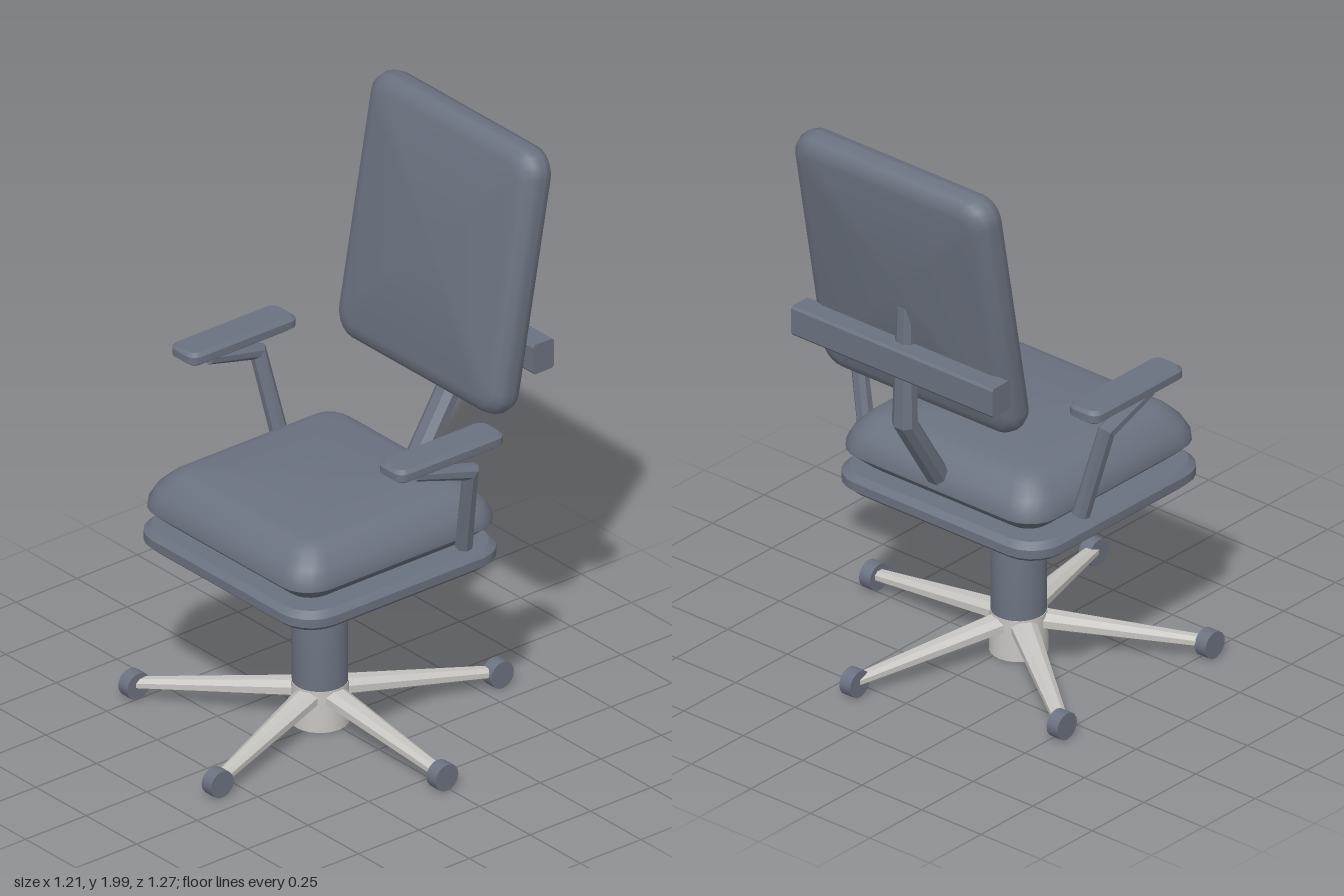
import * as THREE from 'three';
import { toCreasedNormals } from 'three/addons/utils/BufferGeometryUtils.js';

const CX = -0.027, CZ = 0.013; // centre of the column and seat
const V = (x, y, z) => new THREE.Vector3(x, y, z);

// Closed skin through rings of points, capped at both ends
function loft(rings, crease) {
  const n = rings[0].length, pos = [], idx = [];
  rings.forEach(r => r.forEach(p => pos.push(p.x, p.y, p.z)));
  const cap = r => {
    const c = r.reduce((s, p) => s.add(p), V(0, 0, 0)).divideScalar(n);
    pos.push(c.x, c.y, c.z);
    return pos.length / 3 - 1;
  };
  const c0 = cap(rings[0]), c1 = cap(rings[rings.length - 1]);
  const last = (rings.length - 1) * n;
  for (let j = 0; j < n; j++) {
    const k = (j + 1) % n;
    for (let i = 0; i < last; i += n) {
      idx.push(i + j, i + k, i + n + k, i + j, i + n + k, i + n + j);
    }
    idx.push(c0, k, j, c1, last + j, last + k);
  }
  const g = new THREE.BufferGeometry();
  g.setAttribute('position', new THREE.Float32BufferAttribute(pos, 3));
  g.setIndex(idx);
  return toCreasedNormals(g, crease);
}

// Rounded slab facing +z; levels are [z, inset]
function pad(hw, hh, r, levels, crease = 0.75) {
  return loft(levels.map(([z, inset]) => {
    const rr = Math.max(r - inset * 0.5, r * 0.4), ring = [];
    for (let q = 0; q < 4; q++) {
      const sx = q === 0 || q === 3 ? 1 : -1, sy = q < 2 ? 1 : -1;
      for (let i = 0; i <= 5; i++) {
        const a = (q + i / 5) * Math.PI / 2;
        ring.push(V(sx * (hw - inset - rr) + rr * Math.cos(a), sy * (hh - inset - rr) + rr * Math.sin(a), z));
      }
    }
    return ring;
  }), crease);
}

// Chamfered bar along a bent path; sizes are [width, depth] per point
function bar(path, sizes, side, chamfer = 0.28) {
  const dirs = path.slice(1).map((p, i) => p.clone().sub(path[i]).normalize());
  const c = 1 - 2 * chamfer;
  const section = [[1, -c], [1, c], [c, 1], [-c, 1], [-1, c], [-1, -c], [-c, -1], [c, -1]];
  return loft(path.map((p, i) => {
    const d0 = dirs[Math.max(i - 1, 0)], d1 = dirs[Math.min(i, dirs.length - 1)];
    const t = d0.clone().add(d1).normalize();
    const s = side.clone().addScaledVector(t, -side.dot(t)).normalize();
    const u = t.clone().cross(s);
    const miter = 1 / t.dot(d0);
    const [w, d] = sizes[i];
    return section.map(([a, b]) => p.clone().addScaledVector(s, a * w / 2).addScaledVector(u, b * d / 2 * miter));
  }), 0.3);
}

export function createModel() {
  const group = new THREE.Group();
  const slate = new THREE.MeshStandardMaterial({ name: 'slate grey', color: 0x6b7280 });
  const metal = new THREE.MeshStandardMaterial({ name: 'pale metal', color: 0xc6c4c0 });
  const add = (name, geo, mat, x = 0, y = 0, z = 0) => {
    const m = new THREE.Mesh(geo, mat);
    m.name = name;
    m.position.set(x, y, z);
    group.add(m);
    return m;
  };
  const X = V(1, 0, 0);

  // Hub and gas column
  add('hub', new THREE.CylinderGeometry(0.092, 0.095, 0.145, 24), metal, CX, 0.0725, CZ);
  const profile = [[0, 0.14], [0.09, 0.14], [0.09, 0.49], [0.075, 0.56], [0, 0.56]].map(p => new THREE.Vector2(...p));
  add('column', toCreasedNormals(new THREE.LatheGeometry(profile, 24), 0.35), slate, CX, 0, CZ);

  // Five tapered legs with casters
  const caster = new THREE.CylinderGeometry(0.047, 0.047, 0.046, 16).rotateZ(Math.PI / 2);
  for (let i = 0; i < 5; i++) {
    const a = i * Math.PI * 2 / 5, dx = Math.cos(a), dz = Math.sin(a);
    const at = (r, y) => V(CX + r * dx, y, CZ + r * dz);
    add('leg', bar([at(0.02, 0.118), at(0.6, 0.052)], [[0.09, 0.06], [0.045, 0.036]], V(-dz, 0, dx)), metal);
    add('caster', caster, slate, CX + 0.608 * dx, 0.047, CZ + 0.608 * dz);
  }

  // Seat pan and cushion
  const flat = g => g.rotateX(-Math.PI / 2);
  add('seatPan', flat(pad(0.442, 0.425, 0.12,
    [[0.605, 0.022], [0.625, 0], [0.655, 0], [0.675, 0.02]], 0.5)), slate, CX, 0, CZ);
  add('seatCushion', flat(pad(0.425, 0.418, 0.11,
    [[0.68, 0.075], [0.7, 0.05], [0.74, 0.005], [0.745, 0], [0.77, 0.002], [0.81, 0.022], [0.85, 0.06], [0.868, 0.085], [0.876, 0.115]])),
  slate, CX, 0, CZ);

  // Tilted backrest
  const back = add('backrest', pad(0.412, 0.458, 0.085,
    [[-0.064, 0.06], [-0.056, 0.03], [-0.035, 0.008], [-0.005, 0], [0.005, 0], [0.035, 0.008], [0.056, 0.03], [0.064, 0.06]]),
  slate, CX, 1.54, -0.503);
  back.rotation.x = -0.178;

  // Spine and cross bar behind the backrest
  add('spine', bar([V(CX, 0.74, -0.35), V(CX, 1.04, -0.537), V(CX, 1.46, -0.532)],
    [[0.085, 0.065], [0.085, 0.065], [0.06, 0.05]], X), slate);
  add('crossBar', bar([V(-0.45, 1.282, -0.558), V(0.396, 1.282, -0.558)],
    [[0.105, 0.085], [0.105, 0.085]], V(0, 1, 0), 0.08), slate);

  // Mirrored arms
  for (const s of [1, -1]) {
    const side = s > 0 ? 'left' : 'right';
    add(side + 'ArmPost', bar(
      [V(CX + s * 0.452, 0.735, -0.205), V(CX + s * 0.528, 1.045, -0.17), V(CX + s * 0.513, 1.1, 0.05)],
      [[0.055, 0.055], [0.052, 0.048], [0.048, 0.036]], X), slate);
    add(side + 'ArmPad', flat(pad(0.063, 0.22, 0.035,
      [[1.115, 0.02], [1.13, 0], [1.155, 0], [1.166, 0.012]], 0.4)), slate, CX + s * 0.515, 0, -0.06);
  }
  return group;
}
